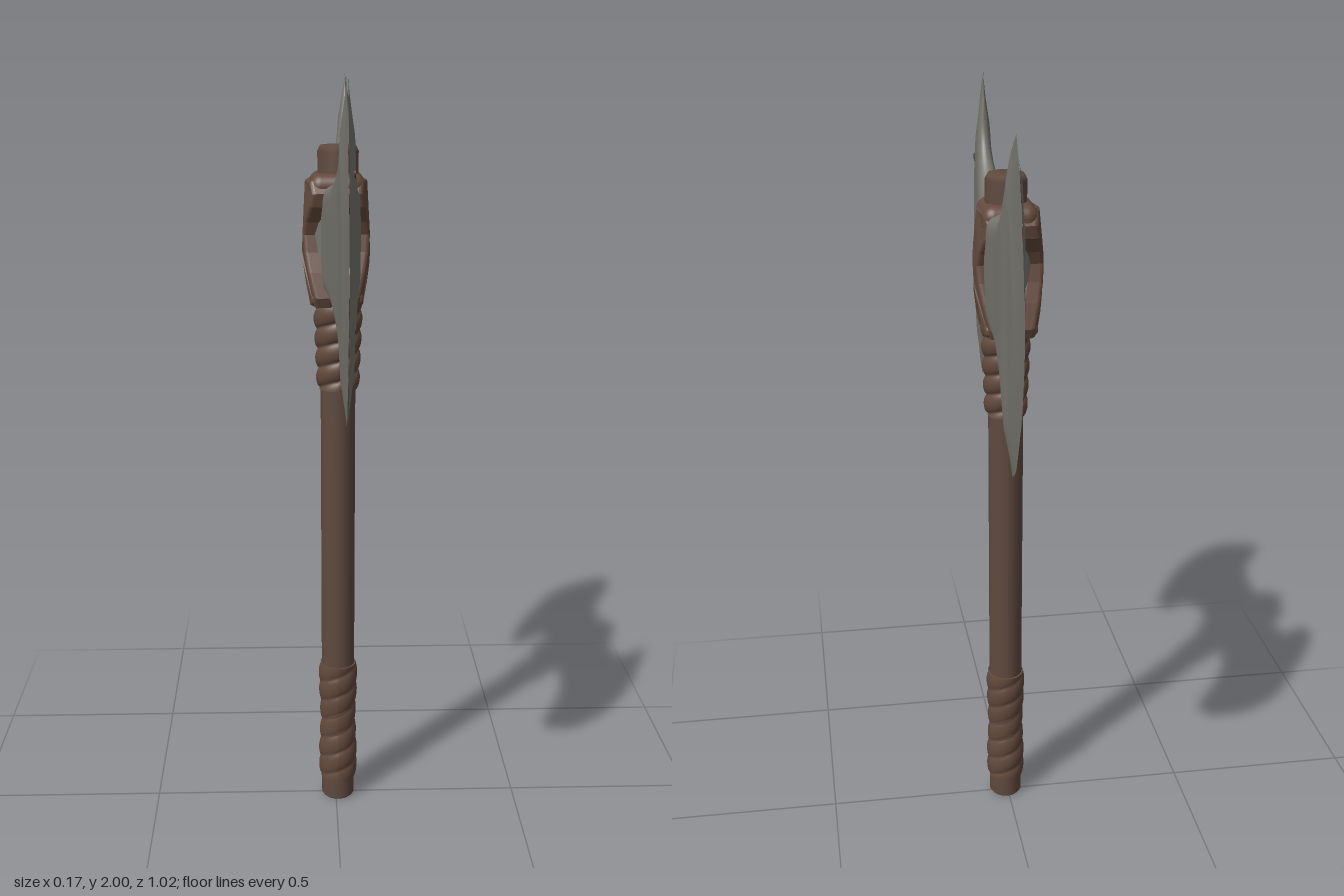
import * as THREE from 'three';
import { RoundedBoxGeometry } from 'three/addons/geometries/RoundedBoxGeometry.js';

const paint = (name, color) => {
  const m = new THREE.MeshStandardMaterial({ color });
  m.name = name;
  return m;
};

// Piecewise linear lookup through [position, value] pairs
function lookup(table, x) {
  for (let i = 1; i < table.length; i++) {
    const [a, p] = table[i - 1], [b, q] = table[i];
    if (x <= b) return p + (q - p) * Math.max(0, (x - a) / (b - a));
  }
  return table[table.length - 1][1];
}

const curve = pts => new THREE.CatmullRomCurve3(pts.map(([z, y]) => new THREE.Vector3(0, y, z)), false, 'centripetal');

// One side skin of a blade, spread between its two inner edges and its outer arc
function bladeSkin(b, face) {
  const top = curve(b.top), bottom = curve(b.bottom), arc = curve(b.arc);
  const tipB = arc.getPoint(0), tipT = arc.getPoint(1);
  const nu = 32, nv = 72, pos = [], index = [];
  for (let i = 0; i <= nu; i++) {
    const u = i / nu, lo = bottom.getPointAt(u), hi = top.getPointAt(u);
    for (let j = 0; j <= nv; j++) {
      const w = -Math.cos(Math.PI * j / nv), v = (w + 1) / 2;
      const bulge = arc.getPointAt(v).sub(tipB.clone().lerp(tipT, v));
      const p = lo.clone().lerp(hi, v).addScaledVector(bulge, u * u);
      // small nicks in the cutting edge
      for (const n of b.nicks) p.z -= b.side * 0.014 * u ** 30 * Math.max(0, 1 - Math.abs(v - n) / 0.018);
      const d = Math.abs(p.z);
      const half = lookup(b.thick, d) * Math.sqrt(Math.max(0, 1 - Math.abs(w) ** 10)) * Math.min(1, 0.1 + (1 - u) * 4);
      pos.push(lookup(b.center, d) + face * half, p.y, p.z);
      if (i < nu && j < nv) {
        const a = i * (nv + 1) + j, c = a + nv + 1;
        if (face * b.side > 0) index.push(a, a + 1, c, a + 1, c + 1, c);
        else index.push(a, c, a + 1, a + 1, c, c + 1);
      }
    }
  }
  const g = new THREE.BufferGeometry();
  g.setAttribute('position', new THREE.Float32BufferAttribute(pos, 3));
  g.setIndex(index);
  g.computeVertexNormals();
  return g;
}

// Leather binding wound around the grip, with spiral ridges
function binding(y0, y1, radius, bump, turns) {
  const g = new THREE.CylinderGeometry(1, 1, y1 - y0, 28, 64);
  const p = g.attributes.position;
  for (let i = 0; i < p.count; i++) {
    const x = p.getX(i), z = p.getZ(i), t = p.getY(i) / (y1 - y0) + 0.5;
    const spiral = Math.abs(Math.sin(Math.PI * turns * t + Math.atan2(z, x)));
    const r = radius(t) + bump * (Math.sqrt(spiral) - 0.6);
    p.setXYZ(i, x * r, y0 + t * (y1 - y0), z * r);
  }
  g.computeVertexNormals();
  return g;
}

// Crossed lashing: full at the top, pinched at the waist, two legs below
function lashing() {
  const half = [[0, 1.715], [0.06, 1.715], [0.077, 1.69], [0.07, 1.66], [0.045, 1.62], [0.032, 1.585],
    [0.042, 1.54], [0.06, 1.49], [0.078, 1.43], [0.07, 1.41], [0.045, 1.41], [0.034, 1.46], [0.016, 1.51], [0, 1.54]];
  const mirror = half.slice(1, -1).reverse().map(([x, y]) => [-x, y]);
  const shape = new THREE.Shape([...half, ...mirror].map(([x, y]) => new THREE.Vector2(x, y)));
  const g = new THREE.ExtrudeGeometry(shape, { depth: 0.03, bevelSize: 0.006, bevelThickness: 0.008, bevelSegments: 3 });
  const p = g.attributes.position;
  for (let i = 0; i < p.count; i++) {
    p.setZ(i, p.getZ(i) - 3 * p.getX(i) ** 2 - 0.5 * (p.getY(i) - 1.58) ** 2);
  }
  g.computeVertexNormals();
  return g;
}

export function createModel() {
  const model = new THREE.Group();
  const metal = paint('steel', 0x75746d), wood = paint('wood', 0x5f4a3f);
  const leather = paint('leather', 0x634a3d), dark = paint('darkPit', 0x35342f);
  const add = (name, geometry, material, parent = model) => {
    const m = new THREE.Mesh(geometry, material);
    m.name = name;
    parent.add(m);
    return m;
  };

  // Shaft and its bindings lean very slightly back
  const handle = new THREE.Group();
  handle.name = 'handle';
  handle.position.set(0.006, 0, 0.005);
  handle.rotation.x = -0.0095;
  model.add(handle);
  const shaft = [[0, 0], [0.042, 0], [0.047, 0.006], [0.047, 0.4], [0.048, 1.2], [0.053, 1.5], [0.055, 1.79], [0.048, 1.804], [0, 1.806]];
  const shaftGeometry = new THREE.LatheGeometry(shaft.map(([r, y]) => new THREE.Vector2(r, y)), 32);
  add('shaft', shaftGeometry, wood, handle).scale.x = 0.95;
  add('lowerBinding', binding(0.06, 0.4, t => 0.049 + 0.002 * Math.sin(9 * t), 0.006, 6), leather, handle);
  add('upperBinding', binding(1.18, 1.44, t => 0.052 + 0.01 * t, 0.011, 5), leather, handle);

  // Two unequal blades
  const blades = [
    { name: 'frontBlade', side: 1, nicks: [0.69, 0.8, 0.83],
      top: [[0, 1.714], [0.06, 1.715], [0.164, 1.735], [0.228, 1.778], [0.27, 1.836], [0.286, 1.92], [0.296, 1.998]],
      bottom: [[0, 1.434], [0.11, 1.43], [0.18, 1.407], [0.238, 1.354], [0.286, 1.28], [0.307, 1.21], [0.349, 1.164]],
      arc: [[0.349, 1.164], [0.397, 1.196], [0.455, 1.286], [0.497, 1.4], [0.513, 1.54], [0.497, 1.672], [0.455, 1.79], [0.423, 1.836], [0.296, 1.998]],
      thick: [[0, 0.055], [0.1, 0.044], [0.2, 0.032], [0.28, 0.022], [0.4, 0.015], [0.52, 0.008]],
      center: [[0, 0.01], [0.25, 0.018], [0.52, 0.015]] },
    { name: 'backBlade', side: -1, nicks: [0.64, 0.76],
      top: [[0, 1.716], [-0.07, 1.72], [-0.19, 1.74], [-0.249, 1.783], [-0.286, 1.857], [-0.307, 1.926], [-0.354, 1.966]],
      bottom: [[0, 1.436], [-0.07, 1.434], [-0.138, 1.423], [-0.19, 1.4], [-0.233, 1.35], [-0.259, 1.275], [-0.27, 1.2], [-0.291, 1.12]],
      arc: [[-0.291, 1.12], [-0.365, 1.164], [-0.418, 1.243], [-0.476, 1.365], [-0.508, 1.497], [-0.508, 1.614], [-0.487, 1.69], [-0.455, 1.8], [-0.407, 1.905], [-0.354, 1.966]],
      thick: [[0, 0.055], [0.1, 0.048], [0.2, 0.037], [0.28, 0.029], [0.34, 0.018], [0.52, 0.008]],
      center: [[0, 0.012], [0.2, 0.026], [0.28, 0.033], [0.52, 0.04]] },
  ];
  for (const b of blades) {
    const blade = new THREE.Group();
    blade.name = b.name;
    model.add(blade);
    for (const face of [1, -1]) add(face > 0 ? 'leftFace' : 'rightFace', bladeSkin(b, face), metal, blade);
  }

  // Two dark pits on the left face of the front blade
  for (const y of [1.77, 1.41]) {
    const pit = add('pit', new THREE.CylinderGeometry(0.011, 0.011, 0.008, 14), dark);
    pit.rotation.z = Math.PI / 2;
    pit.position.set(0.031, y, 0.355);
  }

  // Steel eye around the shaft
  const eye = add('eye', new THREE.CylinderGeometry(0.068, 0.066, 0.28, 32), metal);
  eye.position.set(0.003, 1.573, -0.008);

  // Leather head wrap: collar above, crossed straps on both faces, ties below
  add('collar', new RoundedBoxGeometry(0.14, 0.075, 0.155, 4, 0.03), leather).position.set(0.003, 1.7, -0.012);
  for (const s of [1, -1]) {
    const cross = add('crossedStraps', lashing(), leather);
    cross.rotation.y = s * Math.PI / 2;
    cross.position.set(0.001 + s * 0.05, 0, -0.01);
    const tie = add('lowerTie', new RoundedBoxGeometry(0.135, 0.03, 0.036, 3, 0.012), leather);
    tie.position.set(0.002, 1.424, -0.01 + s * 0.058);
  }
  return model;
}
